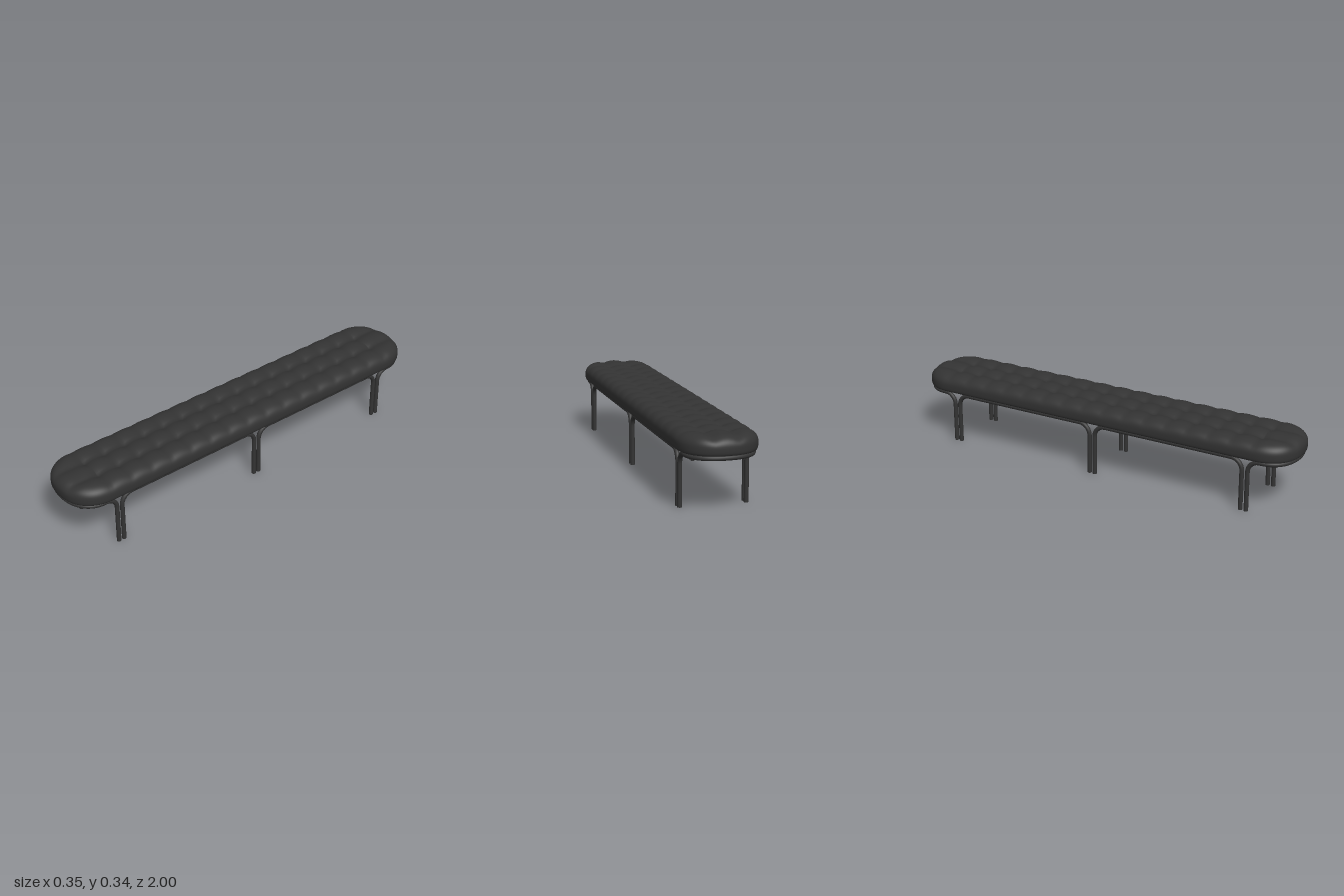
import * as THREE from 'three';
import { mergeVertices } from 'three/addons/utils/BufferGeometryUtils.js';

const HALF_W = 0.177, END_Z = 0.825, END_LEN = 0.175;
const PITCH = 0.11, RAIL_Y = 0.247, LEG_X = 0.15, TUBE_R = 0.0105, BEND = 0.055;

const spow = (v, p) => Math.sign(v) * Math.abs(v) ** p;

// Tufting: rounded pillows meeting in sharp valleys, deepest at the buttons
function tuftDepth(x, z) {
  const valley = (v, limit) => (Math.abs(v) < limit ? 1 - Math.abs(Math.cos(Math.PI * v / PITCH)) : 0);
  const vx = valley(x, PITCH), vz = valley(z, PITCH * 8);
  return 0.011 * vx + 0.007 * vz + 0.005 * vx * vz;
}

// Outline of the cushion: each point has its own spine point to shrink towards
function outline() {
  const pts = [], step = PITCH / 8, n = Math.round(2 * END_Z / step), fan = 36;
  for (const s of [1, -1]) {
    for (let i = 0; i < n; i++) pts.push({ x: s * HALF_W, z: s * (-END_Z + i * step), spine: s * (-END_Z + i * step) });
    for (let i = 0; i < fan; i++) {
      const a = Math.PI * i / fan;
      pts.push({
        x: s * HALF_W * spow(Math.cos(a), 0.88),
        z: s * (END_Z + END_LEN * spow(Math.sin(a), 0.88)),
        spine: s * END_Z,
      });
    }
  }
  return pts;
}

// Section from bottom centre, around the rim, to top centre: [scale, height, tuft strength]
function section() {
  const rows = [[0, 0.258, 0], [0.5, 0.258, 0], [0.94, 0.258, 0], [0.965, 0.259, 0],
    [0.985, 0.263, 0], [0.997, 0.27, 0], [1, 0.28, 0]];
  const inner = PITCH / HALF_W;
  for (let i = 0; i <= 12; i++) {
    const a = Math.PI / 2 * i / 12;
    rows.push([inner + (1 - inner) * Math.cos(a) ** 0.9, 0.29 + 0.052 * Math.sin(a) ** 0.9, Math.sin(a)]);
  }
  for (let i = 7; i >= 0; i--) rows.push([inner * i / 8, 0.342, 1]);
  return rows;
}

function cushionGeometry() {
  const loop = outline(), rows = section(), pos = [], idx = [], n = loop.length;
  for (const [t, y, tuft] of rows) {
    for (const p of loop) {
      const x = p.x * t, z = p.spine + (p.z - p.spine) * t;
      pos.push(x, y - tuft * tuftDepth(x, z), z);
    }
  }
  for (let k = 0; k < rows.length - 1; k++) {
    for (let i = 0; i < n; i++) {
      const j = (i + 1) % n, a = k * n + i, b = k * n + j, c = a + n, d = b + n;
      idx.push(a, c, b, b, c, d);
    }
  }
  let g = new THREE.BufferGeometry();
  g.setAttribute('position', new THREE.Float32BufferAttribute(pos, 3));
  g.setIndex(idx);
  g = mergeVertices(g, 1e-5);
  g.computeVertexNormals();
  return g;
}

// Points of a leg rising from the floor and bending into the rail along dir (z)
function legPoints(x, z, dir) {
  const pts = [];
  for (let i = 0; i < 6; i++) pts.push(new THREE.Vector3(x, (RAIL_Y - BEND) * i / 6, z));
  for (let i = 0; i <= 10; i++) {
    const a = Math.PI / 2 * i / 10;
    pts.push(new THREE.Vector3(x, RAIL_Y - BEND + BEND * Math.sin(a), z + dir * BEND * (1 - Math.cos(a))));
  }
  return pts;
}

export function createModel() {
  const model = new THREE.Group();
  model.name = 'tuftedBench';
  const fabric = new THREE.MeshStandardMaterial({ color: 0x333333 });
  const metal = new THREE.MeshStandardMaterial({ color: 0x333333 });

  const add = (parent, name, geometry, material) => {
    const m = new THREE.Mesh(geometry, material);
    m.name = name;
    parent.add(m);
    return m;
  };

  add(model, 'cushion', cushionGeometry(), fabric);

  const frame = new THREE.Group();
  frame.name = 'frame';
  model.add(frame);

  // One bent tube, closed by a foot at each end
  const addTube = (name, pts) => {
    const part = new THREE.Group();
    part.name = name;
    frame.add(part);
    const curve = new THREE.CatmullRomCurve3(pts, false, 'centripetal');
    add(part, 'tube', new THREE.TubeGeometry(curve, 180, TUBE_R, 14), metal);
    for (const p of [pts[0], pts[pts.length - 1]]) {
      add(part, 'foot', new THREE.CylinderGeometry(TUBE_R, TUBE_R, 0.004, 14), metal).position.set(p.x, 0.002, p.z);
    }
  };

  const pairs = [-0.785, -0.006, 0.785], gap = 0.014;

  // Side hoops between neighbouring leg pairs
  for (const s of [1, -1]) {
    for (let i = 0; i < 2; i++) {
      const z0 = pairs[i] + gap, z1 = pairs[i + 1] - gap, rail = [];
      for (let k = 1; k < 8; k++) {
        rail.push(new THREE.Vector3(s * LEG_X, RAIL_Y, z0 + BEND + (z1 - z0 - 2 * BEND) * k / 8));
      }
      addTube('sideHoop', [...legPoints(s * LEG_X, z0, 1), ...rail, ...legPoints(s * LEG_X, z1, -1).reverse()]);
    }
  }

  // End hoops curving round below the cushion ends
  for (const s of [1, -1]) {
    const legZ = 0.785 + gap, z0 = legZ + BEND, depth = 0.98 - z0, arc = [];
    for (let i = 1; i < 24; i++) {
      const a = Math.PI * i / 24;
      arc.push(new THREE.Vector3(LEG_X * spow(Math.cos(a), 0.88), RAIL_Y, s * (z0 + depth * Math.sin(a) ** 0.88)));
    }
    addTube('endHoop', [...legPoints(LEG_X, s * legZ, s), ...arc, ...legPoints(-LEG_X, s * legZ, s).reverse()]);
  }
  return model;
}
